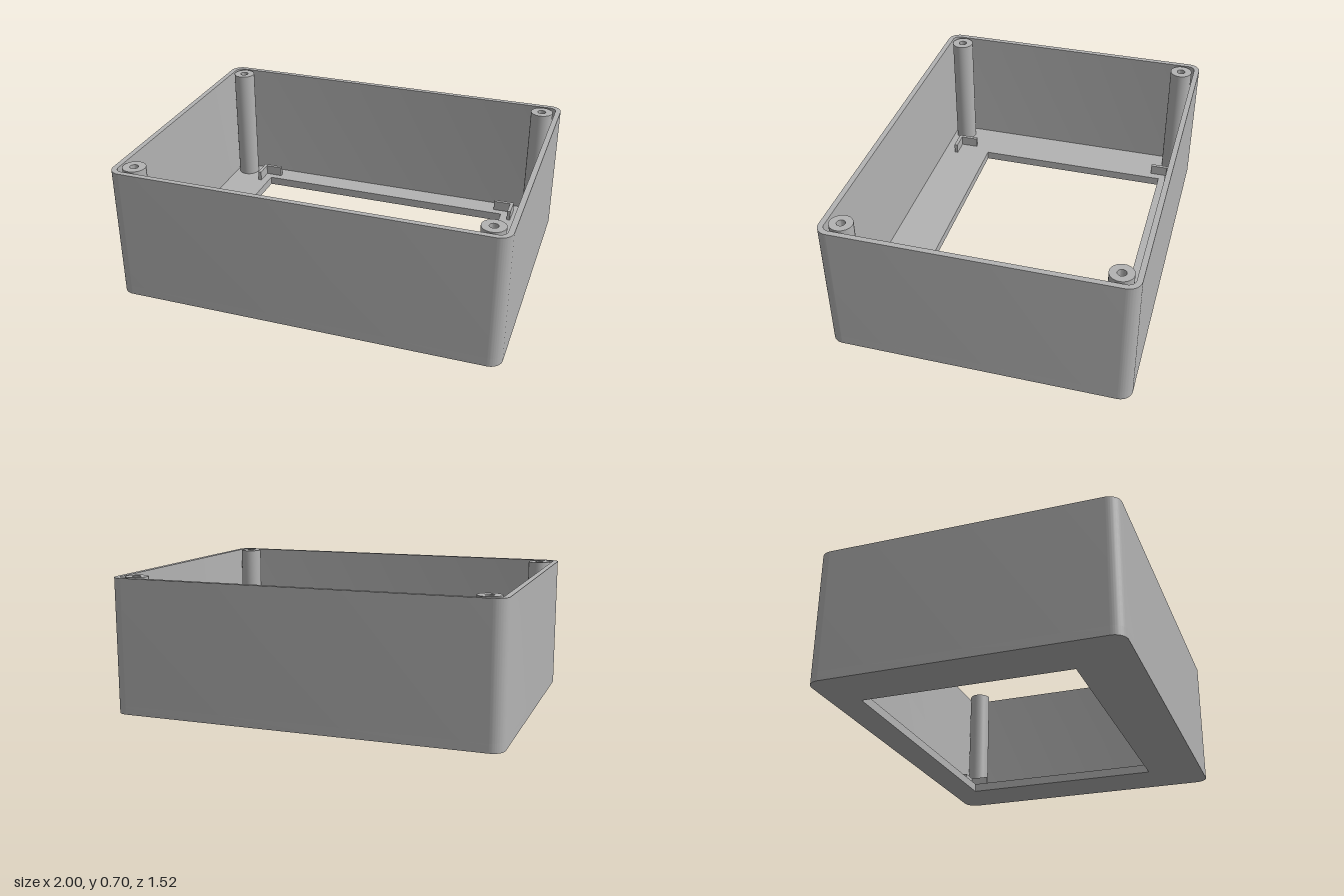
import * as THREE from 'three';
import { toCreasedNormals } from 'three/addons/utils/BufferGeometryUtils.js';

const HEIGHT = 0.7, FLOOR = 0.046;
const HALF_X = 1, HALF_Z = 0.762, WALL = 0.028, RADIUS = 0.065;

// Rounded rectangle centred on the origin
function roundedRect(hx, hy, r) {
  const s = new THREE.Shape();
  s.absarc(hx - r, hy - r, r, 0, Math.PI / 2);
  s.absarc(-hx + r, hy - r, r, Math.PI / 2, Math.PI);
  s.absarc(-hx + r, -hy + r, r, Math.PI, Math.PI * 1.5);
  s.absarc(hx - r, -hy + r, r, Math.PI * 1.5, Math.PI * 2);
  s.closePath();
  return s;
}

const polygon = (points) => new THREE.Shape(points.map(([x, y]) => new THREE.Vector2(x, y)));

// Extrude a plan outline upwards (plan y points to the back, -z)
function slab(shape, y0, y1) {
  const g = new THREE.ExtrudeGeometry(shape, { depth: y1 - y0, bevelEnabled: false, curveSegments: 10 });
  g.rotateX(-Math.PI / 2);
  g.translate(0, y0, 0);
  return toCreasedNormals(g, Math.PI / 6);
}

export function createModel() {
  const group = new THREE.Group();
  const plastic = new THREE.MeshStandardMaterial({ color: 0xb3b3b3 });
  plastic.name = 'greyPlastic';

  const add = (name, geometry) => {
    const mesh = new THREE.Mesh(geometry, plastic);
    mesh.name = name;
    group.add(mesh);
    return mesh;
  };

  // Floor with its window, set slightly towards the back
  const floor = roundedRect(HALF_X, HALF_Z, RADIUS);
  floor.holes.push(polygon([[-0.73, -0.468], [0.73, -0.468], [0.73, 0.61], [-0.73, 0.61]]));
  add('floor', slab(floor, 0, FLOOR));

  // Surrounding wall
  const wall = roundedRect(HALF_X, HALF_Z, RADIUS);
  wall.holes.push(roundedRect(HALF_X - WALL, HALF_Z - WALL, RADIUS - WALL));
  add('wall', slab(wall, FLOOR, HEIGHT));

  // Screw post with a blind hole
  const postProfile = [[0.059, FLOOR], [0.059, HEIGHT], [0.022, HEIGHT], [0.022, 0.2], [0, 0.2]]
    .map(([x, y]) => new THREE.Vector2(x, y));
  const post = toCreasedNormals(new THREE.LatheGeometry(postProfile, 32), Math.PI / 6);

  // L-shaped locating bracket, corner outwards
  const X = 0.793, Z = 0.67, LEN = 0.114, T = 0.019;
  const bracket = [[X, Z], [X - LEN, Z], [X - LEN, Z - T], [X - T, Z - T], [X - T, Z - LEN], [X, Z - LEN]];

  for (const sx of [-1, 1]) {
    for (const sz of [-1, 1]) {
      const corner = (sz > 0 ? 'front' : 'back') + (sx > 0 ? 'Left' : 'Right');
      add(corner + 'Post', post).position.set(sx * 0.902, 0, sz * 0.663);
      const outline = polygon(bracket.map(([x, z]) => [sx * x, -sz * z]));
      add(corner + 'Bracket', slab(outline, FLOOR, FLOOR + 0.055));
    }
  }
  return group;
}
